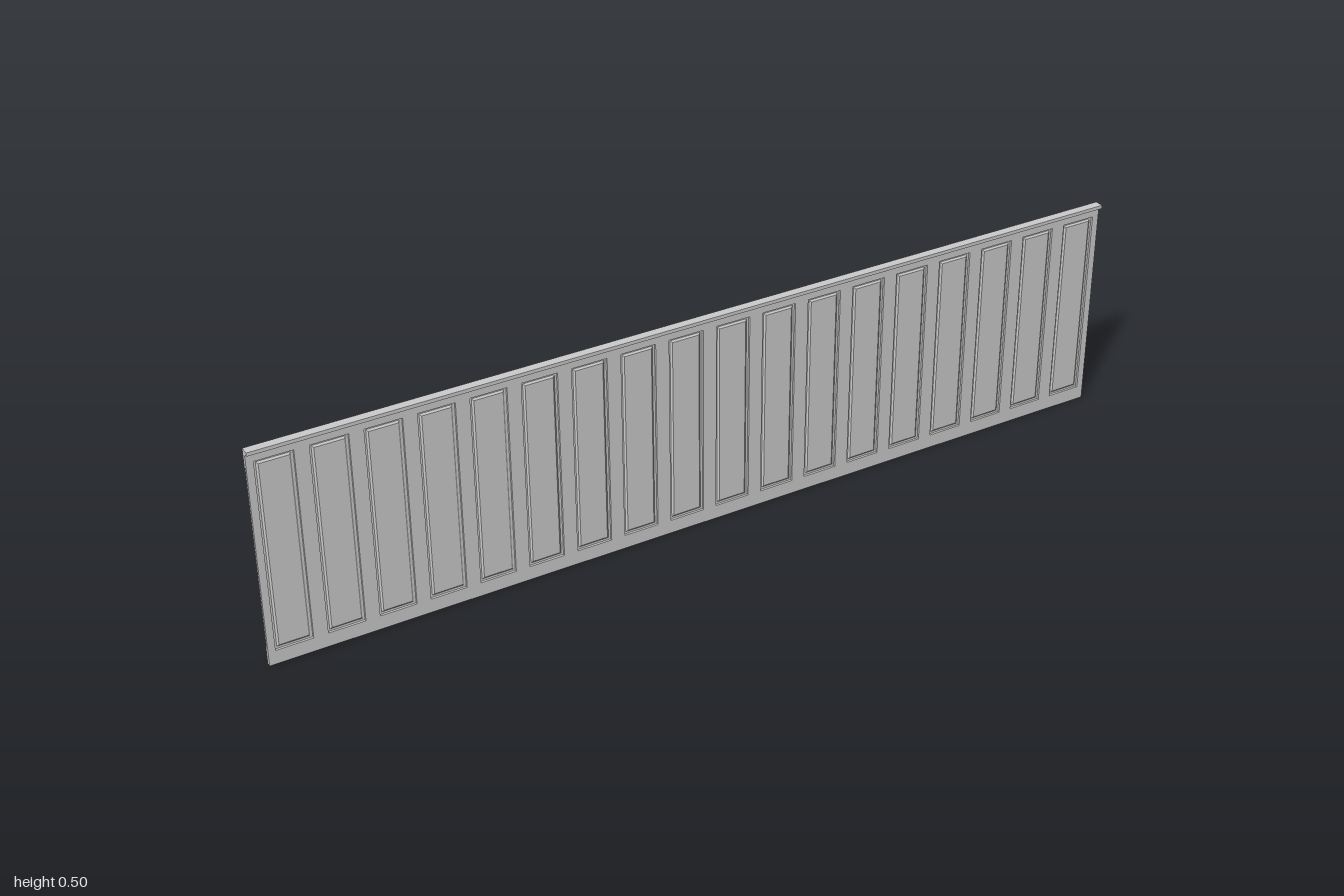
import * as THREE from 'three';

const COUNT = 18, PITCH = 2 / COUNT, TOP = 0.487;
const OPEN_W = 0.08, OPEN_Y0 = 0.032, OPEN_Y1 = 0.468;
const material = new THREE.MeshStandardMaterial({ color: 0xcccccc, flatShading: true });

function rect(path, x0, y0, x1, y1) {
  path.moveTo(x0, y0);
  path.lineTo(x1, y0);
  path.lineTo(x1, y1);
  path.lineTo(x0, y1);
  path.closePath();
  return path;
}

function add(parent, name, geometry, x = 0, y = 0, z = 0) {
  const mesh = new THREE.Mesh(geometry, material);
  mesh.name = name;
  mesh.position.set(x, y, z);
  parent.add(mesh);
  return mesh;
}

// Box given by its limits
function slab(parent, name, x0, x1, y0, y1, z0, z1) {
  return add(parent, name, new THREE.BoxGeometry(x1 - x0, y1 - y0, z1 - z0),
    (x0 + x1) / 2, (y0 + y1) / 2, (z0 + z1) / 2);
}

// Box whose front face is inset on all four sides, giving a sloped border
function raisedField(w, h, d, inset) {
  const g = new THREE.BoxGeometry(w, h, d);
  const p = g.attributes.position;
  for (let i = 0; i < p.count; i++) {
    if (p.getZ(i) > 0) {
      p.setX(i, p.getX(i) - Math.sign(p.getX(i)) * inset);
      p.setY(i, p.getY(i) - Math.sign(p.getY(i)) * inset);
    }
  }
  g.computeVertexNormals();
  return g;
}

export function createModel() {
  const model = new THREE.Group();
  model.name = 'wallPanelling';
  const centres = Array.from({ length: COUNT }, (_, i) => -1 + (i + 0.5) * PITCH);

  // Front frame with one opening per panel
  const frame = rect(new THREE.Shape(), -1, 0, 1, TOP);
  for (const x of centres) {
    frame.holes.push(rect(new THREE.Path(), x - OPEN_W / 2, OPEN_Y0, x + OPEN_W / 2, OPEN_Y1));
  }
  add(model, 'frontFrame',
    new THREE.ExtrudeGeometry(frame, { depth: 0.005, bevelEnabled: false }), 0, 0, -0.005);

  // Thin core sheet behind the frame
  slab(model, 'coreSheet', -1, 1, 0, TOP, -0.007, -0.005);

  // Back rails
  slab(model, 'backBottomRail', -1, 1, 0, 0.04, -0.01, -0.007);
  slab(model, 'backTopRail', -1, 1, 0.455, TOP, -0.01, -0.007);

  // Raised panels in front, with ridges and grooves between them at the back
  const field = raisedField(0.07, OPEN_Y1 - OPEN_Y0 - 0.01, 0.003, 0.004);
  const panels = new THREE.Group();
  panels.name = 'panels';
  for (const x of centres) {
    add(panels, 'raisedPanel', field, x, (OPEN_Y0 + OPEN_Y1) / 2, -0.0035);
    for (const s of [-1, 1]) {
      const a = x + s * 0.033, b = x + s * 0.0465;
      slab(panels, 'backRidge', Math.min(a, b), Math.max(a, b), 0.04, 0.455, -0.01, -0.007);
    }
  }
  model.add(panels);

  // Top cap with a sloped underside, extruded along x
  const cap = new THREE.Shape();
  [[0.01, 0.485], [0, 0.485], [-0.004, 0.488], [-0.01, 0.489], [-0.01, 0.497], [0.01, 0.497]]
    .forEach(([x, y], i) => (i ? cap.lineTo(x, y) : cap.moveTo(x, y)));
  cap.closePath();
  const capMesh = add(model, 'topCap',
    new THREE.ExtrudeGeometry(cap, { depth: 2, bevelEnabled: false }), -1);
  capMesh.rotation.y = Math.PI / 2;

  return model;
}
